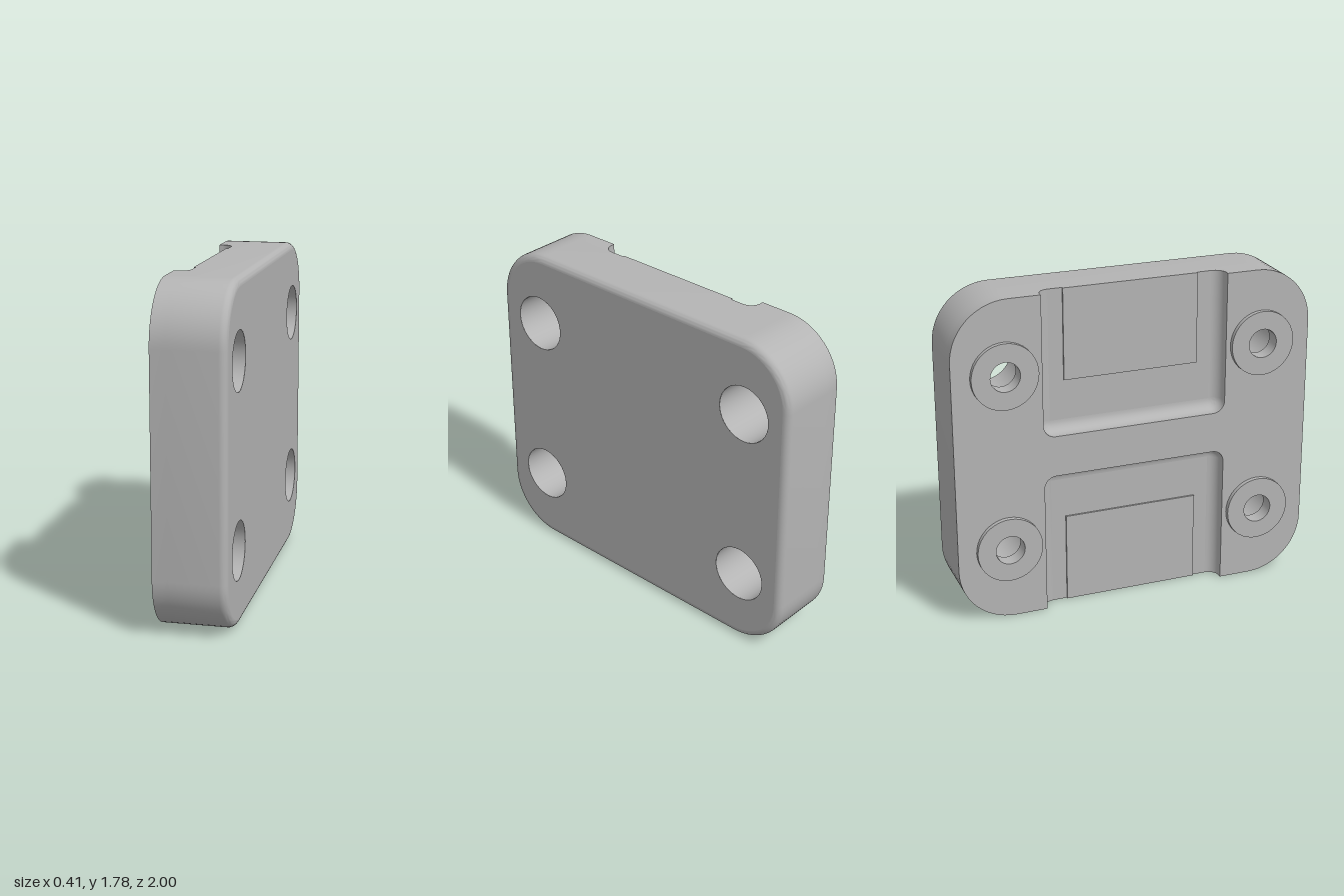
import * as THREE from 'three';
import { toCreasedNormals } from 'three/addons/utils/BufferGeometryUtils.js';

// Built with its thickness along local z, then turned so local +z becomes +x.
const H = 1.785, W = 1, R = 0.31;               // plate height, half width, corner radius
const FRONT = 0.2, FLOOR = -0.1, BACK = -0.18;  // thickness levels
const EDGE = 0.04;                              // rounded edge of the front face
const PW = 0.515, PH = 0.78, PC = 0.065, PF = 0.06; // pocket half width, height, corner, fillet
const HOLE_X = 0.72, HOLE_Y = [0.405, 1.38], BORE = 0.155, BOLT = 0.08, BOSS = 0.18;

const arc = (cx, cy, r, a0, a1, n = 14) => Array.from({ length: n + 1 }, (_, i) => {
  const a = a0 + (a1 - a0) * i / n;
  return new THREE.Vector2(cx + r * Math.cos(a), cy + r * Math.sin(a));
});
const turned = pts => pts.map(p => new THREE.Vector2(-p.x, H - p.y));
const Q = Math.PI / 2;

// Plate outline, counter-clockwise from the lower right corner
function outline(inset) {
  const r = R - inset;
  const right = [...arc(W - R, R, r, -Q, 0), ...arc(W - R, H - R, r, 0, Q)];
  return [...right, ...turned(right)];
}

// Open pocket outline: up from the lower edge, across and down again
function pocketPath(inset) {
  const w = PW - inset, r = PC - inset;
  return [
    new THREE.Vector2(-w, 0),
    ...arc(-PW + PC, PH - PC, r, Math.PI, Q, 8),
    ...arc(PW - PC, PH - PC, r, Q, 0, 8),
    new THREE.Vector2(w, 0),
  ];
}

// Smooth skin through equal rows of [x, y, z] points
function loft(rows) {
  const n = rows[0].length, index = [];
  for (let j = 0; j < rows.length - 1; j++)
    for (let i = 0; i < n - 1; i++) {
      const a = j * n + i, b = a + 1, c = a + n, d = c + 1;
      index.push(a, b, d, a, d, c);
    }
  const g = new THREE.BufferGeometry();
  g.setAttribute('position', new THREE.Float32BufferAttribute(rows.flat(2), 3));
  g.setIndex(index);
  return toCreasedNormals(g, 0.6);
}
const row = (pts, z) => pts.map(p => [p.x, p.y, z]);

function addHoles(shape, radius) {
  for (const x of [-HOLE_X, HOLE_X])
    for (const y of HOLE_Y)
      shape.holes.push(new THREE.Path().absarc(x, y, radius, 0, Math.PI * 2, true));
  return shape;
}

export function createModel() {
  const grey = new THREE.MeshStandardMaterial({ color: 0xb4b4b4, side: THREE.DoubleSide });
  grey.name = 'plain grey';
  const plate = new THREE.Group();
  plate.name = 'mountingPlate';
  plate.rotation.y = Q;
  const add = (parent, name, geometry) => {
    const m = new THREE.Mesh(geometry, grey);
    m.name = name;
    parent.add(m);
    return m;
  };

  // Outer wall rolling over into the front face
  const rows = [row(outline(0), FLOOR)];
  for (let i = 0; i <= 8; i++) {
    const a = Q * i / 8;
    rows.push(row(outline(EDGE * (1 - Math.cos(a))), FRONT - EDGE * (1 - Math.sin(a))));
  }
  rows.forEach(r => r.push(r[0]));
  add(plate, 'outerWall', loft(rows));
  const face = addHoles(new THREE.Shape(outline(EDGE)), BORE);
  add(plate, 'frontFace', new THREE.ShapeGeometry(face, 40)).position.z = FRONT;

  // Back layer with a pocket cut in from the upper and lower edges
  const right = outline(0).slice(0, 30);
  const notch = pocketPath(0);
  const backShape = addHoles(
    new THREE.Shape([...right, ...turned(notch), ...turned(right), ...notch]), BORE + 0.012);
  const backGeo = new THREE.ExtrudeGeometry(backShape,
    { depth: FLOOR - BACK, bevelEnabled: false, curveSegments: 40 });
  add(plate, 'backLayer', toCreasedNormals(backGeo, 0.6)).position.z = BACK;

  // Pocket floors, fillets and raised pads
  const fillet = arc(0, 0, PF, 0, Q, 8).map(p => [PF - p.x, FLOOR - PF + p.y]);
  for (const upper of [false, true]) {
    const pocket = new THREE.Group();
    pocket.name = upper ? 'upperPocket' : 'lowerPocket';
    if (upper) {
      pocket.rotation.z = Math.PI;
      pocket.position.y = H;
    }
    plate.add(pocket);
    const floor = new THREE.PlaneGeometry(PW * 2, PH);
    floor.rotateY(Math.PI);
    add(pocket, 'pocketFloor', floor).position.set(0, PH / 2, FLOOR);
    add(pocket, 'pocketFillet', loft(fillet.map(([i, z]) => row(pocketPath(i), z))));
    for (const s of [-1, 1]) {
      const curve = fillet.map(([i, z]) => [s * (PW - i), 0, z]);
      const corner = curve.map(() => [s * PW, 0, FLOOR]);
      add(pocket, 'filletEnd', loft(s < 0 ? [curve, corner] : [corner, curve]));
    }
    add(pocket, 'raisedPad', new THREE.BoxGeometry(0.75, 0.5, 0.01))
      .position.set(0, 0.25, FLOOR - 0.005);
  }

  // Counterbored bolt holes, each with a round boss on the back
  const profile = [[BOSS, BACK], [BOSS, -0.206], [BOLT, -0.206], [BOLT, -0.12], [BORE, -0.12], [BORE, FRONT]]
    .map(([r, z]) => new THREE.Vector2(r, z));
  const boreGeo = toCreasedNormals(new THREE.LatheGeometry(profile, 40).rotateX(Q), 0.6);
  for (const x of [-HOLE_X, HOLE_X])
    for (const y of HOLE_Y) add(plate, 'boltHole', boreGeo).position.set(x, y, 0);

  const model = new THREE.Group();
  model.name = 'plateModel';
  model.add(plate);
  return model;
}
